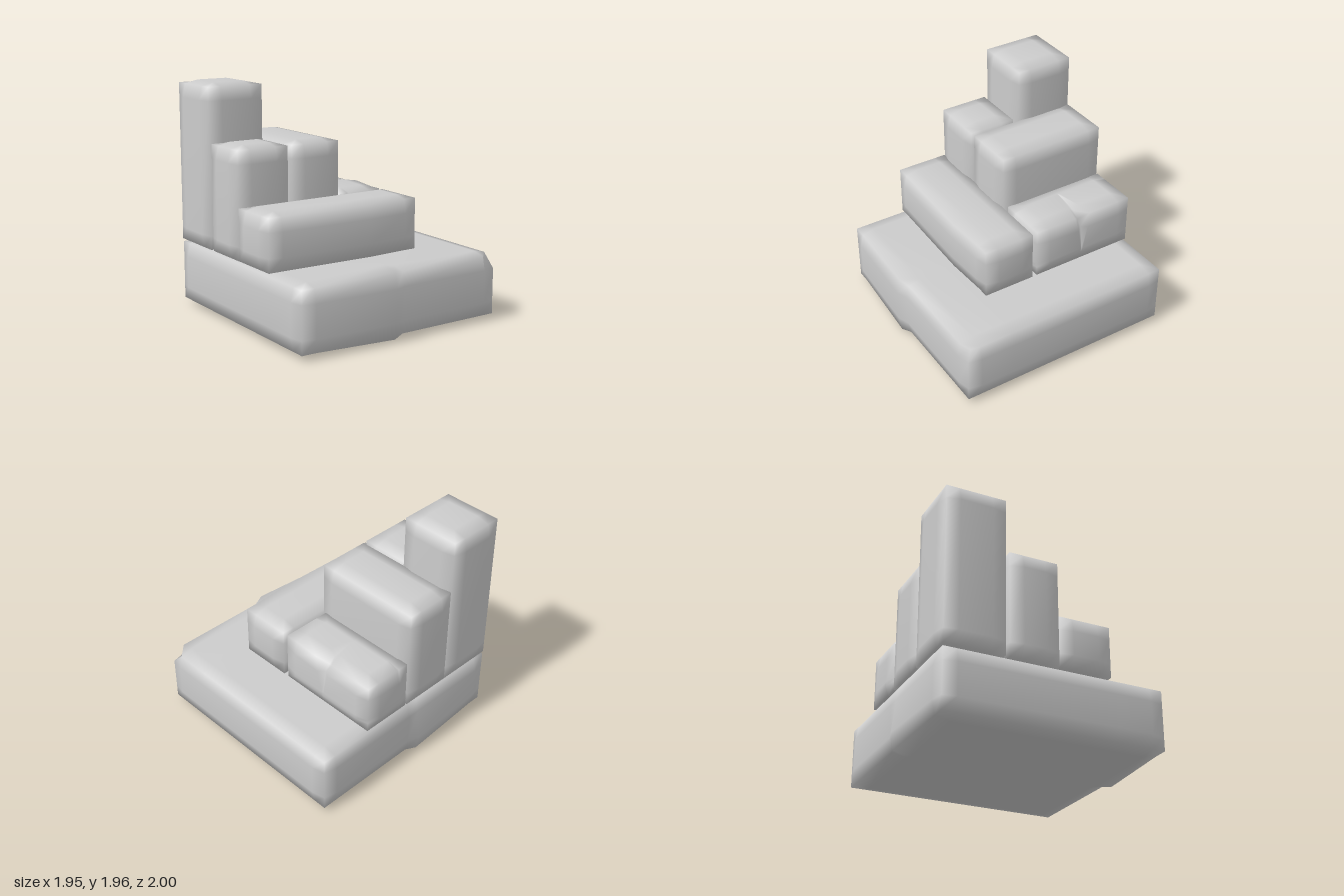
import * as THREE from 'three';
import { mergeVertices } from 'three/addons/utils/BufferGeometryUtils.js';

const BEVEL = 0.14; // distance of the support loops from each edge
const PULL = 0.025; // how far worn edges sink on each axis

const material = new THREE.MeshStandardMaterial({ color: 0xcccccc });
const clamp01 = (v) => Math.min(1, Math.max(0, v));

// Soft stone block: a box grid whose edges and corners are pulled in.
// extra = additional cuts per axis, sculpt = rule that dents or swells vertices
function stone(name, x, y, z, extra = {}, sculpt = null) {
  const cuts = [x, y, z].map(([a, b], i) =>
    [a, a + BEVEL, b - BEVEL, b, ...(extra['xyz'[i]] || [])].sort((p, q) => p - q));
  const n = cuts.map((c) => c.length - 1);
  const box = new THREE.BoxGeometry(1, 1, 1, ...n);
  box.deleteAttribute('normal');
  box.deleteAttribute('uv');
  const geo = mergeVertices(box, 1e-4);
  const pos = geo.attributes.position;
  const v = new THREE.Vector3();
  for (let i = 0; i < pos.count; i++) {
    v.fromBufferAttribute(pos, i);
    const index = v.toArray().map((c, k) => Math.round((c + 0.5) * n[k]));
    // side is -1 / 0 / +1 per axis: which outer faces the vertex lies on
    const side = index.map((c, k) => (c === 0 ? -1 : c === n[k] ? 1 : 0));
    const faces = side.filter((s) => s !== 0).length;
    const pull = faces > 1 ? PULL : 0;
    const grid = index.map((c, k) => cuts[k][c]);
    v.fromArray(grid.map((c, k) => c - side[k] * pull));
    if (sculpt) sculpt(v, side, grid);
    pos.setXYZ(i, v.x, v.y, v.z);
  }
  geo.computeVertexNormals();
  const mesh = new THREE.Mesh(geo, material);
  mesh.name = name;
  return mesh;
}

// Base slab: swollen seam near the middle and a worn front corner
function sculptBase(v, side, grid) {
  if (Math.abs(grid[0] + 0.1) < 1e-3) {
    if (side[2] > 0) v.z += 0.035;
    if (side[2] < 0 && grid[1] < 0.3) v.z -= 0.03;
    if (side[1] > 0 && grid[2] > 0.7) v.y += 0.02;
    if (side[1] < 0 && Math.abs(grid[2]) > 0.7) v.y -= 0.022;
  }
  if (side[0] > 0 && side[1] > 0 && side[2] > 0) {
    v.x -= 0.06;
    v.y -= 0.05;
    v.z -= 0.06;
  }
}

// Split stone: a wedge-shaped crack across the top edge, fading on both faces
const CRACK = -0.46;
function sculptCrack(v, side, grid) {
  const dz = grid[2] - CRACK;
  if (Math.abs(dz) > 0.1) return;
  const t = Math.min(clamp01((grid[0] - 0.13) / 0.37), clamp01((grid[1] - 0.66) / 0.38));
  if (Math.abs(dz) < 1e-3) {
    if (side[0] > 0) v.x -= 0.055 * t;
    if (side[1] > 0) v.y -= 0.065 * t;
  } else {
    v.z = CRACK + dz * Math.max(t, 0.15);
    if (dz > 0 && side[0] > 0) v.x += 0.02 * t;
    if (dz > 0 && side[1] > 0) v.y += 0.012 * t;
  }
}

// Long front stone: slight belly in the middle of its front face
function sculptBelly(v, side, grid) {
  if (side[2] > 0 && Math.abs(grid[0]) < 1e-3) v.z += 0.02;
}

export function createModel() {
  const group = new THREE.Group();
  group.name = 'steppedStones';

  group.add(
    stone('baseSlab', [-0.97, 0.97], [0.025, 0.58], [-0.97, 0.962],
      { x: [-0.1, 0], z: [0.52] }, sculptBase),
    // first step
    stone('longFrontStone', [-0.97, 0.5], [0.555, 1.038], [0, 0.502], { x: [0] }, sculptBelly),
    stone('crackedStone', [0.01, 0.497], [0.555, 1.038], [-0.97, 0.005],
      { x: [0.13], y: [0.66], z: [CRACK - 0.08, CRACK, CRACK + 0.08] }, sculptCrack),
    // second step
    stone('leftMiddleStone', [-0.972, -0.455], [0.555, 1.5], [-0.425, 0.046]),
    stone('rightMiddleStone', [-0.465, 0.043], [0.555, 1.5], [-0.972, 0.042]),
    // tallest stone
    stone('cornerPillar', [-0.975, -0.42], [0.555, 1.96], [-0.972, -0.41]),
  );
  return group;
}
